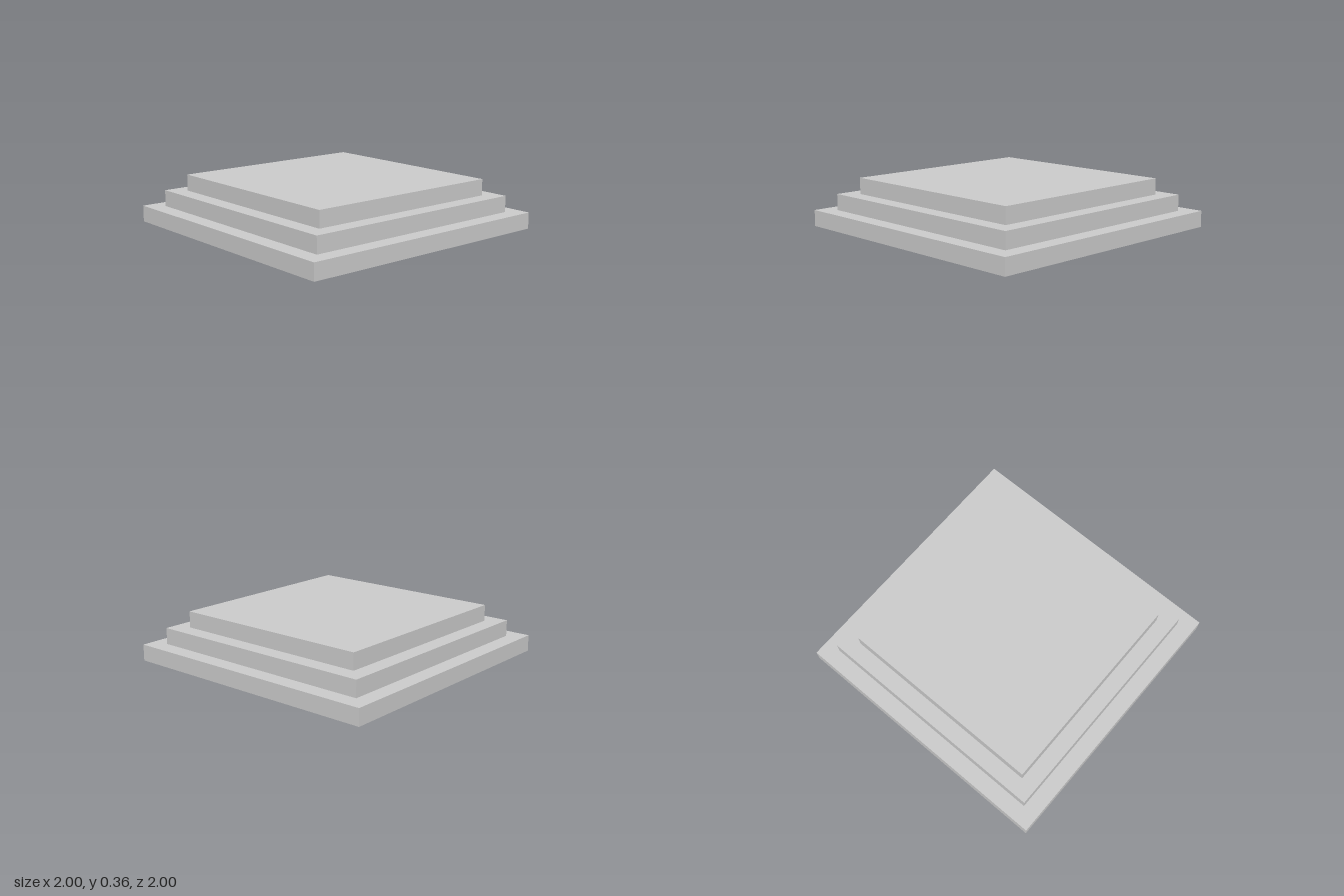
import * as THREE from 'three';

const STEPS = 3;
const RISE = 0.12;
const RUN = 0.12;

export function createModel() {
  const model = new THREE.Group();
  model.name = 'steppedPlatform';
  const material = new THREE.MeshStandardMaterial({
    color: 0xcccccc, flatShading: true, side: THREE.DoubleSide,
  });

  const addPart = (name, geometry) => {
    const mesh = new THREE.Mesh(geometry, material);
    mesh.name = name;
    model.add(mesh);
  };

  // Four-sided lathe: profile points are [half width, height]
  const squareRing = (profile) => {
    const points = profile.map(([half, y]) => new THREE.Vector2(half * Math.SQRT2, y));
    const geometry = new THREE.LatheGeometry(points, 4, Math.PI / 4).toNonIndexed();
    geometry.computeVertexNormals();
    return geometry;
  };

  // Thin hollow steps, open underneath: a riser, then a tread up to the next riser
  for (let i = 0; i < STEPS; i++) {
    const half = 1 - i * RUN;
    const y = i * RISE;
    const profile = [[half, y], [half, y + RISE]];
    if (i < STEPS - 1) profile.push([half - RUN, y + RISE]);
    addPart(`step${i + 1}`, squareRing(profile));
  }

  // Flat top
  const topSize = 2 * (1 - (STEPS - 1) * RUN);
  const top = new THREE.PlaneGeometry(topSize, topSize);
  top.rotateX(-Math.PI / 2).translate(0, STEPS * RISE, 0);
  addPart('topPlate', top);

  return model;
}
